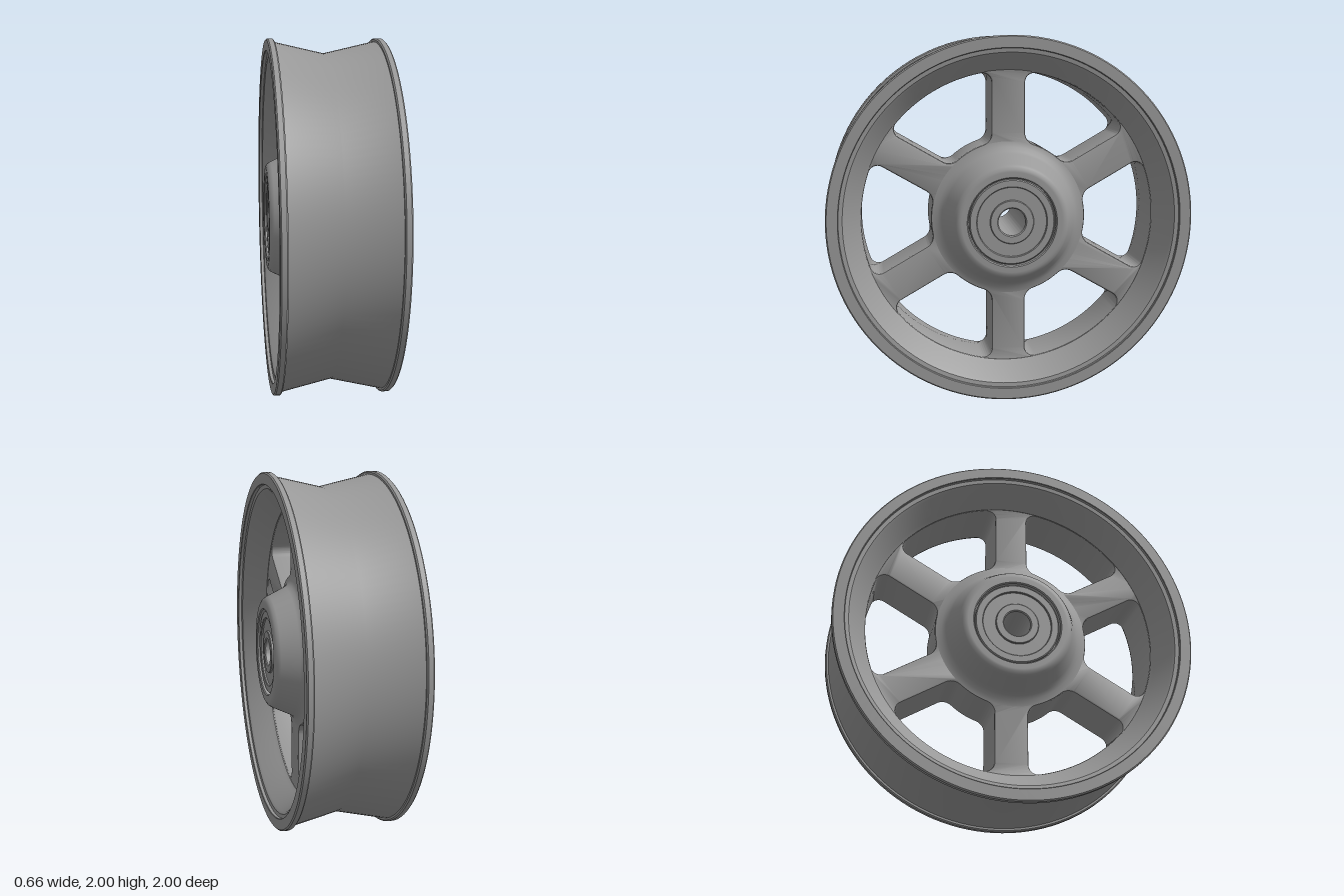
import * as THREE from 'three';
import { toCreasedNormals } from 'three/addons/utils/BufferGeometryUtils.js';

const SPOKES = 6;
const SPOKE_HALF_WIDTH = 0.093;
const PLATE_HALF = 0.16;      // half thickness of the spoke plate
const R_IN = 0.43, R_OUT = 0.81; // inner and outer radius of the windows
const F_IN = 0.07, F_OUT = 0.05; // corner radii of the windows

// Ring turned round the x axis; half = [radius, x] from the outside middle to the inside middle
function turned(half) {
  const other = half.slice(1).reverse().map(([r, x]) => [r, -x]);
  const points = [...other, ...half].map(([r, x]) => new THREE.Vector2(r, x));
  const geometry = new THREE.LatheGeometry(points, 128);
  geometry.rotateZ(-Math.PI / 2);
  return toCreasedNormals(geometry, 0.6);
}

// Rounded window between the spokes at angles s1 and s2
function windowPath(s1, s2) {
  const path = new THREE.Path();
  const corner = (s, side, distance, f) => {
    const off = SPOKE_HALF_WIDTH + f;
    const along = Math.sqrt(distance * distance - off * off);
    const angle = s + side * Math.atan2(off, along);
    return { x: distance * Math.cos(angle), y: distance * Math.sin(angle), angle };
  };
  const q = Math.PI / 2;
  const o1 = corner(s1, 1, R_OUT - F_OUT, F_OUT), o2 = corner(s2, -1, R_OUT - F_OUT, F_OUT);
  const i1 = corner(s1, 1, R_IN + F_IN, F_IN), i2 = corner(s2, -1, R_IN + F_IN, F_IN);
  path.absarc(o1.x, o1.y, F_OUT, s1 - q, o1.angle, false);
  path.absarc(0, 0, R_OUT, o1.angle, o2.angle, false);
  path.absarc(o2.x, o2.y, F_OUT, o2.angle, s2 + q, false);
  path.absarc(i2.x, i2.y, F_IN, s2 + q, i2.angle + 2 * q, false);
  path.absarc(0, 0, R_IN, i2.angle, i1.angle, true);
  path.absarc(i1.x, i1.y, F_IN, i1.angle + 2 * q, s1 + 3 * q, false);
  path.closePath();
  return path;
}

// Spoke plate with six windows and softened edges
function spokePlate() {
  const shape = new THREE.Shape();
  shape.absarc(0, 0, 0.87, 0, Math.PI * 2, false);
  const bore = new THREE.Path();
  bore.absarc(0, 0, 0.3, 0, Math.PI * 2, true);
  shape.holes.push(bore);
  const step = (Math.PI * 2) / SPOKES;
  for (let k = 0; k < SPOKES; k++) {
    const s = Math.PI / 2 + k * step;
    shape.holes.push(windowPath(s, s + step));
  }
  const bevel = 0.012;
  const geometry = new THREE.ExtrudeGeometry(shape, {
    depth: 2 * (PLATE_HALF - bevel), curveSegments: 20,
    bevelEnabled: true, bevelSize: bevel, bevelThickness: bevel, bevelOffset: -bevel, bevelSegments: 2,
  });
  geometry.translate(0, 0, -(PLATE_HALF - bevel));
  geometry.rotateY(Math.PI / 2);
  return toCreasedNormals(geometry, 0.6);
}

export function createModel() {
  const group = new THREE.Group();
  const metal = new THREE.MeshStandardMaterial({ color: 0x999999 });
  metal.name = 'grey metal';
  const add = (name, geometry) => {
    const mesh = new THREE.Mesh(geometry, metal);
    mesh.name = name;
    mesh.position.y = 1;
    group.add(mesh);
  };

  // Rim: shallow V outside, flanges, flared inside
  add('rim', turned([
    [0.918, 0], [0.982, 0.28], [0.993, 0.28], [1, 0.287], [1, 0.313], [0.993, 0.32],
    [0.935, 0.32], [0.932, 0.317], [0.932, 0.30], [0.91, 0.297], [0.897, 0.285],
    [0.83, 0.18], [0.815, 0.162], [0.815, 0],
  ]));

  add('spokePlate', spokePlate());

  // Hub: cone blending into the plate, with a recess for the bearings
  add('hub', turned([
    [0.4, 0], [0.4, 0.15], [0.425, 0.16], [0.395, 0.167], [0.373, 0.183], [0.36, 0.205],
    [0.315, 0.3], [0.305, 0.317], [0.288, 0.327], [0.275, 0.328], [0.246, 0.328], [0.24, 0.322],
    [0.24, 0.29], [0.2, 0.29], [0.2, 0],
  ]));

  // Bearing: outer race, sunken seal, inner race and open bore
  add('bearing', turned([
    [0.234, 0.2], [0.234, 0.309], [0.228, 0.315], [0.194, 0.315], [0.19, 0.311], [0.19, 0.303],
    [0.12, 0.303], [0.12, 0.311], [0.116, 0.315], [0.08, 0.315], [0.074, 0.309], [0.074, 0],
  ]));

  return group;
}
